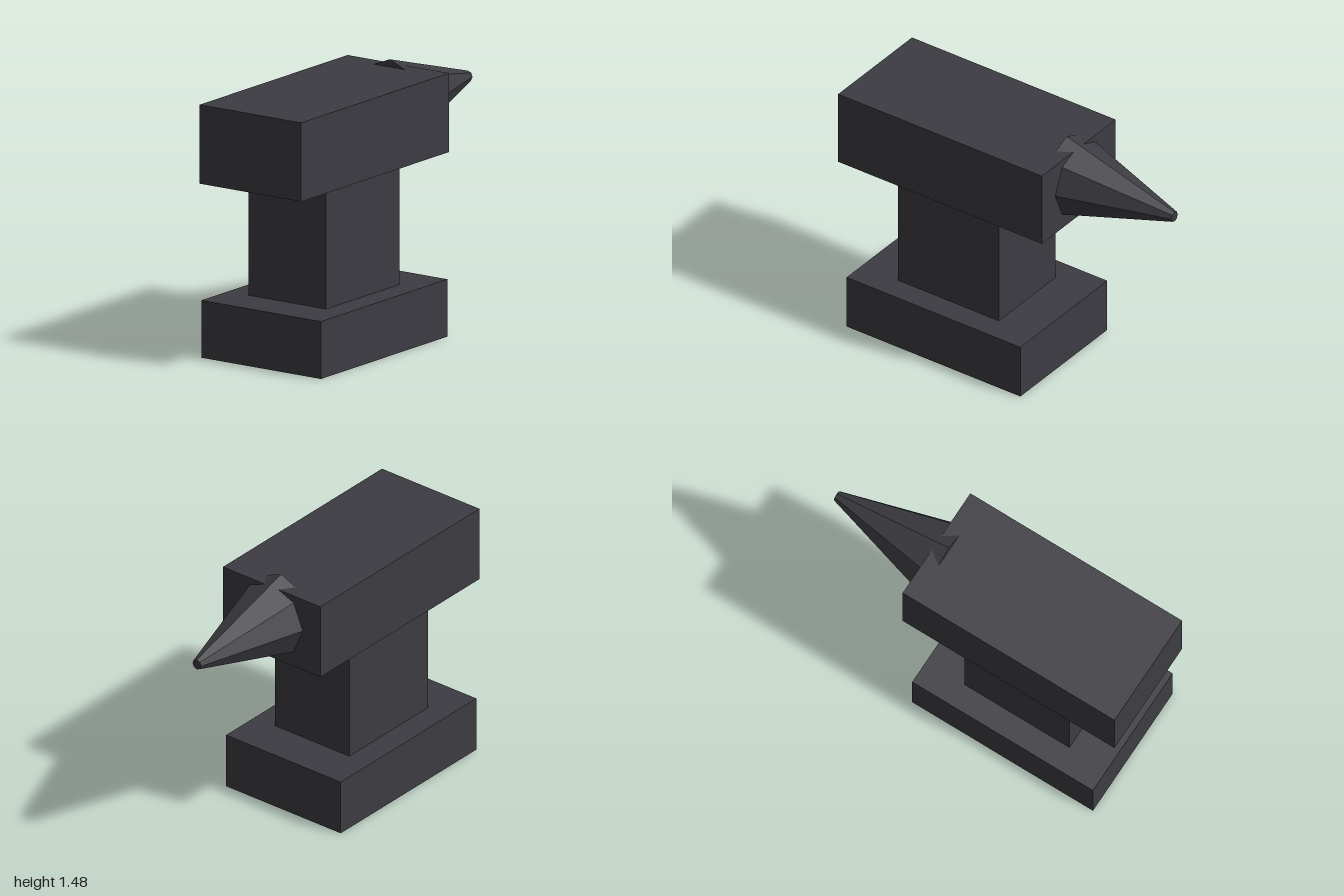
import * as THREE from 'three';

export function createModel() {
  const model = new THREE.Group();
  model.name = 'anvil';

  const iron = new THREE.MeshStandardMaterial({ color: 0x3d3c42 });
  iron.name = 'dark iron';
  iron.flatShading = true;

  const add = (name, geometry, x, y) => {
    const mesh = new THREE.Mesh(geometry, iron);
    mesh.name = name;
    mesh.position.set(x, y, 0);
    model.add(mesh);
  };

  // Block spanning x0..x1 and y0..y1, centred on z
  const block = (name, x0, x1, y0, y1, depth) =>
    add(name, new THREE.BoxGeometry(x1 - x0, y1 - y0, depth), (x0 + x1) / 2, (y0 + y1) / 2);

  block('base', -0.9, 0.26, 0, 0.32, 0.8);
  block('waist', -0.66, 0.015, 0.32, 1, 0.52);
  block('body', -1, 0.36, 1, 1.44, 0.68);

  // Eight-sided horn, its wide end sunk into the body
  const horn = new THREE.CylinderGeometry(0.03, 0.24, 0.72, 8).rotateZ(-Math.PI / 2);
  add('horn', horn, 0.64, 1.243);

  return model;
}
